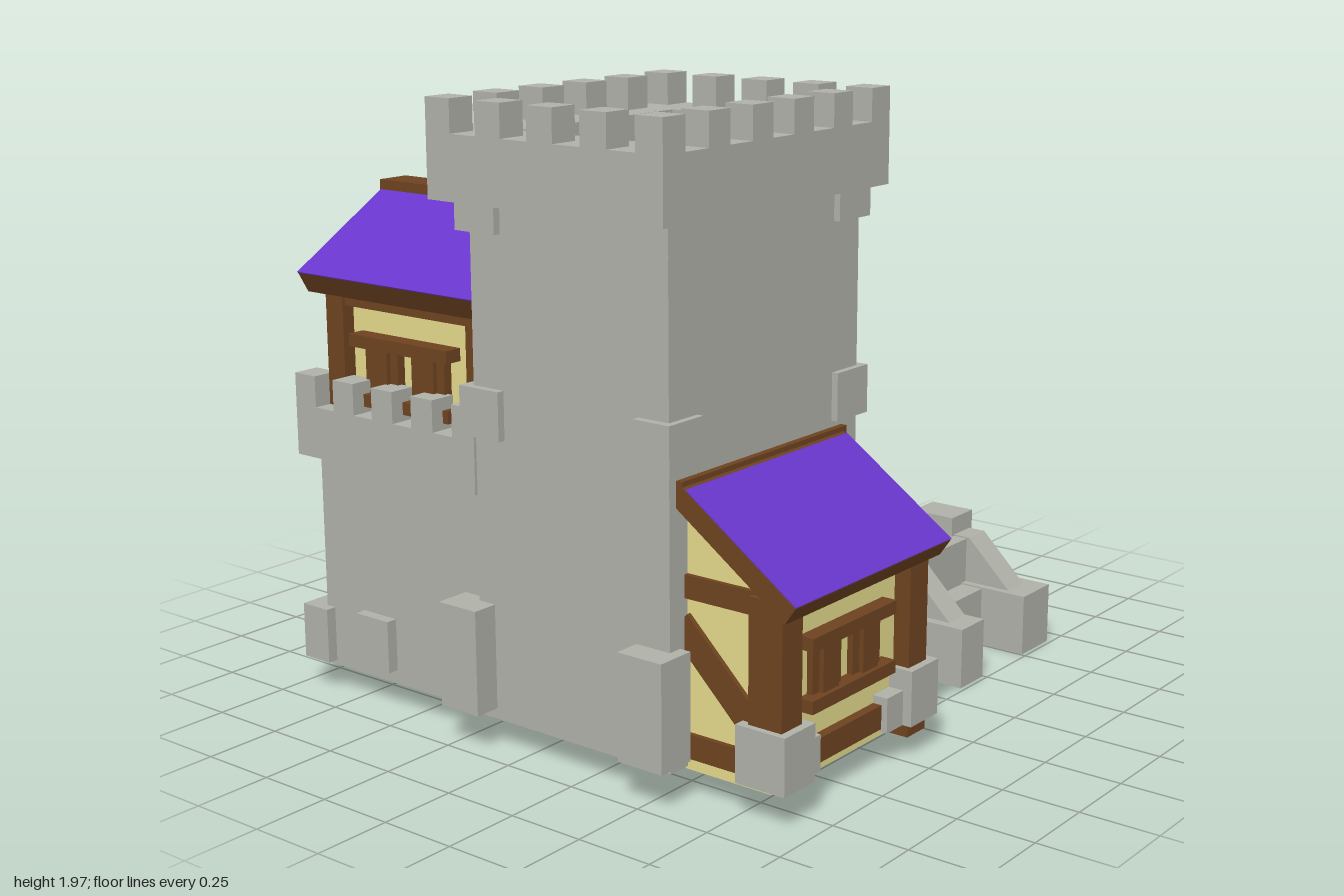
import * as THREE from 'three';

export function createModel() {
  const model = new THREE.Group();
  model.name = 'fortifiedTower';
  const mat = (name, color, side = THREE.FrontSide) => {
    const m = new THREE.MeshStandardMaterial({ color, side });
    m.name = name;
    return m;
  };
  const stone = mat('stone', 0xb0b1a8, THREE.DoubleSide);
  const wood = mat('wood', 0x6e4320);
  const plaster = mat('plaster', 0xe4da8d);
  const tile = mat('purple tile', 0x6836cc);

  const add = (name, geo, m) => {
    const mesh = new THREE.Mesh(geo, m);
    mesh.name = name;
    model.add(mesh);
    return mesh;
  };
  // Box given by its limits on each axis
  const box = (name, m, x0, x1, y0, y1, z0, z1) =>
    add(name, new THREE.BoxGeometry(x1 - x0, y1 - y0, z1 - z0)
      .translate((x0 + x1) / 2, (y0 + y1) / 2, (z0 + z1) / 2), m);
  // Four outer walls, open above and below
  const shell = (...args) => {
    const geo = box(...args).geometry;
    geo.setIndex(Array.from(geo.index.array).filter((_, i) => i < 12 || i >= 24));
    geo.clearGroups();
  };
  const toShape = (pts) => new THREE.Shape(pts.map((p) => new THREE.Vector2(...p)));
  // Profile in (x, y), extruded from z0 to z1
  const alongZ = (name, m, pts, z0, z1) =>
    add(name, new THREE.ExtrudeGeometry(toShape(pts), { depth: z1 - z0, bevelEnabled: false })
      .translate(0, 0, z0), m);
  // Profile in (z, y), extruded from x0 to x1
  const alongX = (name, m, pts, x0, x1, hole) => {
    const s = toShape(pts);
    if (hole) s.holes.push(toShape(hole));
    return add(name, new THREE.ExtrudeGeometry(s, { depth: x1 - x0, bevelEnabled: false })
      .rotateY(-Math.PI / 2).translate(x1, 0, 0), m);
  };
  // Four-cornered strip beside the line p-q
  const strip = (p, q, t) => {
    const dx = q[0] - p[0], dy = q[1] - p[1], l = Math.hypot(dx, dy);
    const n = [-dy / l * t, dx / l * t];
    return [p, q, [q[0] + n[0], q[1] + n[1]], [p[0] + n[0], p[1] + n[1]]];
  };
  // Parapet walls with merlons around a rectangle
  const battlement = (name, x0, x1, z0, z1, yb, y0, y1, thick, size, nx, nz) => {
    box(name + 'Parapet', stone, x0, x1, yb, y0, z0, z0 + thick);
    box(name + 'Parapet', stone, x0, x1, yb, y0, z1 - thick, z1);
    box(name + 'Parapet', stone, x0, x0 + thick, yb, y0, z0 + thick, z1 - thick);
    box(name + 'Parapet', stone, x1 - thick, x1, yb, y0, z0 + thick, z1 - thick);
    for (let i = 0; i < nx; i++) for (let j = 0; j < nz; j++) {
      if (i > 0 && i < nx - 1 && j > 0 && j < nz - 1) continue;
      const x = x0 + (x1 - x0 - size) * i / (nx - 1), z = z0 + (z1 - z0 - size) * j / (nz - 1);
      box(name + 'Merlon', stone, x, x + size, y0, y1, z, z + size);
    }
  };

  // Main tower
  shell('towerBody', stone, -0.915, -0.005, 0.09, 1.68, -0.184, 0.553);
  box('towerHead', stone, -0.99, 0.085, 1.67, 1.77, -0.275, 0.598);
  battlement('tower', -0.99, 0.085, -0.275, 0.598, 1.77, 1.865, 1.965, 0.19, 0.095, 6, 5);
  for (const [y0, y1] of [[0.97, 1.12], [1.58, 1.67]])
    for (const [x0, x1] of [[-0.94, -0.79], [-0.135, 0.025]])
      for (const [z0, z1] of [[0.444, 0.574], [-0.22, -0.065]])
        box('cornerStone', stone, x0, x1, y0, y1, z0, z1);

  // Rear bastion
  shell('bastionBody', stone, -0.885, -0.09, 0.085, 0.8, -0.895, -0.18);
  box('bastionHead', stone, -0.925, -0.05, 0.785, 0.87, -0.955, -0.18);
  battlement('bastion', -0.925, -0.05, -0.955, -0.18, 0.87, 0.95, 1.05, 0.09, 0.09, 5, 5);

  // Stones set into the foot of the walls
  for (const [z0, z1] of [[0.43, 0.59], [-0.27, -0.12]])
    box('footStone', stone, -1.0, -0.87, 0.125, 0.455, z0, z1);
  box('footStone', stone, -0.922, -0.85, 0.13, 0.3, -0.72, -0.58);
  box('footStone', stone, -0.92, -0.745, 0.1, 0.28, -0.97, -0.86);
  box('footStone', stone, -0.235, -0.05, 0.27, 0.455, -0.965, -0.85);
  box('footStone', stone, -0.36, -0.24, 0.1, 0.35, -0.945, -0.86);
  box('footStone', stone, -0.15, -0.03, 0.15, 0.455, -0.22, -0.1);

  // Gate surround, door and keystone
  const doorway = [[0.31, 0.49], [0.31, 0.835], [0.18, 0.95], [0.145, 0.95], [0.02, 0.835], [0.02, 0.49]];
  alongX('gateSurround', stone, [[0.42, 0.08], [0.42, 0.86], [0.2, 1.08], [0.12, 1.08], [-0.08, 0.87], [-0.08, 0.08]],
    -0.02, 0.075, doorway);
  alongX('door', wood, doorway, -0.01, 0.015);
  box('keystone', stone, 0.0, 0.12, 0.95, 1.11, 0.115, 0.215);

  // Bridge from the gate
  box('bridgeDeck', stone, 0.06, 0.37, 0.34, 0.485, 0.0, 0.32);
  for (const [z0, z1, end] of [[-0.08, 0.005, 0.49], [0.315, 0.4, 0.475]])
    alongZ('bridgeParapet', stone,
      [[0.06, 0.34], [0.06, 0.575], [0.32, 0.575], [end, 0.47], [end, 0.3], [0.37, 0.3], [0.29, 0.34]], z0, z1);

  // Stepped approach with curbs, rails and posts
  box('approachStep', stone, 0.46, 0.79, 0.09, 0.2, 0.45, 0.57);
  box('approachDeck', stone, 0.365, 0.79, 0.09, 0.358, -0.085, 0.49);
  box('leftCurb', stone, 0.755, 0.925, 0, 0.205, -0.12, 0.735);
  box('rightCurb', stone, 0.36, 0.495, 0, 0.2, -0.145, 0.735);
  const rail = (zBack) => [[0.665, 0.2], [0.5, 0.363], [zBack, 0.363], [zBack, 0.2]];
  alongX('leftRail', stone, rail(-0.08), 0.78, 0.88);
  alongX('rightRail', stone, rail(0.3), 0.393, 0.49);
  for (const z of [-0.09, 0.28]) {
    box('leftPost', stone, 0.765, 0.895, 0.2, 0.425, z, z + 0.16);
    box('rightPost', stone, 0.385, 0.505, 0.2, 0.42, z - 0.035, z + 0.125);
  }

  // Front lean-to, hollow under its roof
  box('leanToFront', plaster, -0.835, -0.16, 0.08, 0.68, 0.825, 0.85);
  for (const x of [-0.835, -0.185])
    alongX('leanToSide', plaster, [[0.545, 0.08], [0.545, 0.89], [0.85, 0.675], [0.85, 0.08]], x, x + 0.025);
  alongX('leanToRoof', wood, strip([0.963, 0.665], [0.56, 0.945], 0.065), -0.885, -0.1);
  alongX('leanToTiles', tile, strip([0.963, 0.666], [0.585, 0.9286], -0.003), -0.885, -0.1);
  box('leanToRidge', wood, -0.885, -0.085, 0.875, 0.95, 0.545, 0.575);
  for (const [x0, x1, bottom] of [[-0.865, -0.77, 0.115], [-0.225, -0.13, 0.065]]) {
    box('leanToPost', wood, x0, x1, bottom, 0.66, 0.79, 0.905);
    box('postFoot', stone, x0 - 0.02, x1 + 0.03, 0.11, 0.285, 0.76, 0.93);
  }
  box('leanToSill', wood, -0.8, -0.2, 0.12, 0.195, 0.8, 0.88);
  for (const [x0, x1] of [[-0.85, -0.81], [-0.185, -0.145]]) {
    box('sideBeam', wood, x0, x1, 0.6, 0.67, 0.55, 0.8);
    box('sideSill', wood, x0, x1, 0.12, 0.195, 0.55, 0.8);
    alongX('sideBrace', wood, strip([0.83, 0.17], [0.5, 0.49], -0.09), x0, x1);
  }
  box('footStone', stone, -0.74, -0.67, 0.11, 0.22, 0.78, 0.9);
  box('footStone', stone, -0.33, -0.24, 0.11, 0.22, 0.78, 0.9);

  // Shuttered window: two rails and two barred shutters
  const shutters = (name, put) => {
    put(name + 'Lintel', -0.21, 0.21, 0.165, 0.205, 0.05);
    put(name + 'Sill', -0.21, 0.21, -0.02, 0.02, 0.05);
    for (const s of [-1, 1]) {
      put(name + 'Shutter', s * 0.1 - 0.07, s * 0.1 + 0.07, 0.02, 0.165, 0.02);
      put(name + 'ShutterBar', s * 0.1 - 0.038, s * 0.1 + 0.038, 0.01, 0.175, 0.035);
    }
  };
  shutters('frontWindow', (n, a, b, y0, y1, d) =>
    box(n, wood, -0.5 + a, -0.5 + b, 0.31 + y0, 0.31 + y1, 0.84, 0.85 + d));

  // Upper house on the bastion
  const cx = -0.485;
  alongZ('houseWall', plaster, [[-0.82, 0.86], [-0.82, 1.35], [cx, 1.54], [-0.15, 1.35], [-0.15, 0.86]], -0.84, -0.18);
  for (const s of [-1, 1]) {
    const wx = cx + s * 0.335;
    for (const [z0, z1] of [[-0.865, -0.79], [-0.262, -0.185]])
      box('housePost', wood, wx - 0.045, wx + 0.045, 0.86, 1.33, z0, z1);
    box('houseBeam', wood, wx - 0.035, wx + 0.035, 1.275, 1.33, -0.86, -0.185);
    const eave = [cx + s * 0.418, 1.367], ridge = [cx, 1.615];
    alongZ('houseRoof', wood, strip(eave, ridge, s * 0.075), -0.945, -0.184);
    alongZ('houseTiles', tile, strip(eave, [cx + s * 0.03, 1.5972], -s * 0.004), -0.947, -0.184);
    shutters('sideWindow', (n, a, b, y0, y1, d) => {
      const x = cx + s * 0.325, o = x + s * (d + 0.02);
      box(n, wood, Math.min(x, o), Math.max(x, o), 0.99 + y0, 0.99 + y1, -0.54 + a, -0.54 + b);
    });
  }
  box('ridgeBeam', wood, cx - 0.053, cx + 0.062, 1.57, 1.62, -0.95, -0.184);
  box('gableBeam', wood, -0.83, -0.14, 1.275, 1.34, -0.87, -0.82);

  // Timber canopy
  alongZ('canopyRoof', wood, strip([0.34, 1.063], [1.0, 0.885], -0.065), -0.945, -0.24);
  alongZ('canopyTiles', tile, strip([0.34, 1.063], [1.0, 0.885], 0.003), -0.947, -0.238);
  const postX = [[0.395, 0.49, 1.01], [0.85, 0.94, 0.88]];
  const postZ = [[-0.34, -0.26, -0.41, -0.235], [-0.915, -0.835, -0.955, -0.78]];
  for (const [x0, x1, top] of postX) {
    for (const [z0, z1, f0, f1] of postZ) {
      box('canopyPost', wood, x0, x1, 0.085, top, z0, z1);
      box('canopyFoot', stone, x0 - 0.04, x1 + 0.025, 0.09, 0.28, f0, f1);
    }
    const c = (x0 + x1) / 2;
    for (const y of [0.295, 0.625])
      box('canopySideBeam', wood, c - 0.028, c + 0.028, y, y + 0.04, -0.945, -0.225);
  }
  for (const [z0, z1] of postZ) for (const y of [0.295, 0.625])
    box('canopyCrossBeam', wood, 0.335, 0.97, y, y + 0.04, z0 + 0.015, z1 - 0.015);

  return model;
}
